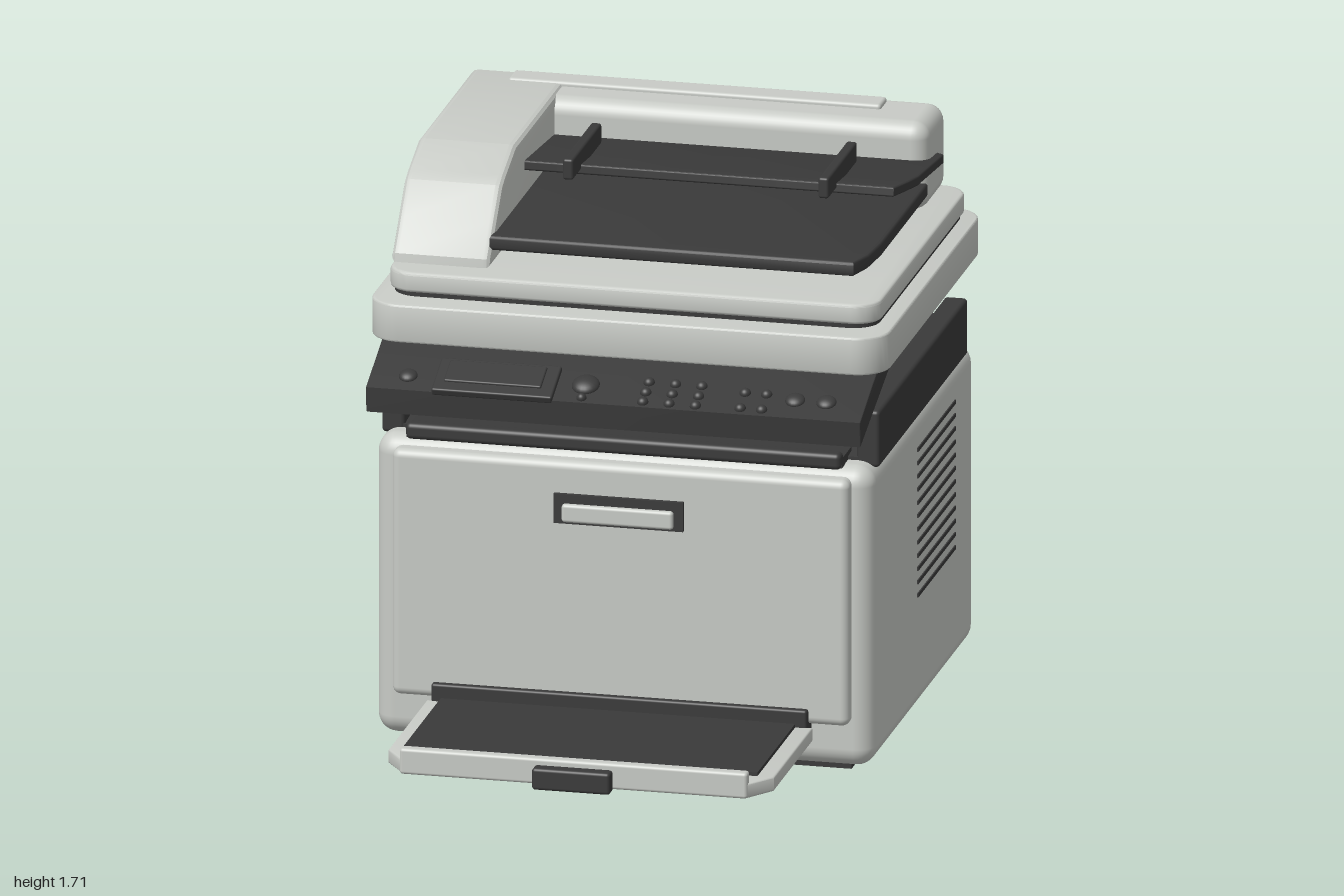
import * as THREE from 'three';
import { toCreasedNormals } from 'three/addons/utils/BufferGeometryUtils.js';
import { RoundedBoxGeometry } from 'three/addons/geometries/RoundedBoxGeometry.js';

export function createModel() {
  const model = new THREE.Group();
  const shell = new THREE.MeshStandardMaterial({ color: 0xc8cbc6 });
  shell.name = 'light grey shell';
  const dark = new THREE.MeshStandardMaterial({ color: 0x3a3a3a });
  dark.name = 'charcoal plastic';

  const add = (name, geo, mat, parent = model) => {
    const mesh = new THREE.Mesh(geo, mat);
    mesh.name = name;
    parent.add(mesh);
    return mesh;
  };

  // Box given by its limits on each axis, rounded when r > 0
  const box = (name, mat, [x0, x1], [y0, y1], [z0, z1], r = 0, parent = model) => {
    const size = [x1 - x0, y1 - y0, z1 - z0];
    const geo = r ? new RoundedBoxGeometry(...size, 4, r) : new THREE.BoxGeometry(...size);
    geo.translate((x0 + x1) / 2, (y0 + y1) / 2, (z0 + z1) / 2);
    return add(name, geo, mat, parent);
  };

  const extrude = (shape, depth, bevel) => new THREE.ExtrudeGeometry(shape, {
    depth: depth - 2 * bevel, bevelEnabled: bevel > 0, bevelSize: bevel, bevelThickness: bevel,
    bevelOffset: -bevel, bevelSegments: 3, curveSegments: 8,
  }).translate(0, 0, bevel);

  const polygon = (pts) => new THREE.Shape(pts.map(([x, y]) => new THREE.Vector2(x, y)));

  // Plan outline of [x, z] points raised from y0 to y1
  const plate = (name, mat, pts, y0, y1, bevel = 0, parent = model) => {
    const geo = extrude(polygon(pts.map(([x, z]) => [x, -z])), y1 - y0, bevel);
    geo.rotateX(-Math.PI / 2).translate(0, y0, 0);
    return add(name, toCreasedNormals(geo, 0.6), mat, parent);
  };

  // Side profile of [z, y] points swept from x0 to x1
  const profile = (name, mat, pts, x0, x1, bevel = 0) => {
    const geo = extrude(polygon(pts), x1 - x0, bevel);
    geo.rotateY(-Math.PI / 2).translate(x1, 0, 0);
    return add(name, toCreasedNormals(geo, 0.4), mat);
  };

  // Slab with round vertical corners
  const slab = (name, mat, w, z0, z1, y0, y1, r, bevel) => {
    const pts = [];
    const corners = [[w - r, z1 - r], [-w + r, z1 - r], [-w + r, z0 + r], [w - r, z0 + r]];
    corners.forEach(([cx, cz], i) => {
      for (let k = 0; k <= 8; k++) {
        const a = (i + k / 8) * Math.PI / 2;
        pts.push([cx + r * Math.cos(a), cz + r * Math.sin(a)]);
      }
    });
    return plate(name, mat, pts, y0, y1, bevel);
  };

  // Main body and base
  box('body', shell, [-0.755, 0.755], [0.015, 0.945], [-0.98, 0.33], 0.06);
  box('base', dark, [-0.68, 0.68], [0, 0.03], [-0.93, 0.28]);
  for (let i = 0; i < 12; i++) {
    const y = 0.38 + i * 0.041;
    box('ventSlot', dark, [0.75, 0.759], [y - 0.006, y + 0.006], [-0.72, -0.24]);
  }

  // Front door and handle
  box('frontDoor', shell, [-0.695, 0.692], [0.155, 0.917], [0.29, 0.37], 0.025);
  box('handleFrame', dark, [-0.2, 0.193], [0.73, 0.82], [0.36, 0.385]);
  box('handleGrip', shell, [-0.173, 0.165], [0.737, 0.793], [0.37, 0.4], 0.01);

  // Fold-out paper tray
  box('trayHinge', dark, [-0.57, 0.57], [0.11, 0.205], [0.32, 0.39], 0.008);
  plate('paperTray', shell, [[-0.585, 0.38], [-0.585, 0.87], [-0.525, 0.955], [0.525, 0.955],
    [0.585, 0.87], [0.585, 0.38]], 0.108, 0.152, 0.006);
  box('trayLiner', dark, [-0.54, 0.535], [0.148, 0.163], [0.38, 0.872]);
  box('trayLip', shell, [-0.53, 0.525], [0.107, 0.187], [0.925, 0.963], 0.01);
  box('trayPull', dark, [-0.12, 0.117], [0.1, 0.167], [0.95, 1.0], 0.01);

  // Rear details
  box('rearCover', dark, [-0.168, 0.168], [0.265, 0.45], [-1.0, -0.97], 0.006);
  for (const s of [-1, 1]) {
    const screw = add('rearScrew', new THREE.SphereGeometry(0.016, 12, 8), shell);
    screw.position.set(s * 0.59, 0.832, -0.978);
    box('rearHinge', dark, [s * 0.53 - 0.065, s * 0.53 + 0.065], [1.25, 1.33], [-0.985, -0.975]);
  }

  // Output bay between body and scanner
  for (const s of [-1, 1]) {
    const x = [s * 0.755, s * 0.685].sort((a, b) => a - b);
    box('bayWall', dark, x, [0.925, 1.1], [-0.89, 0.24], 0.012);
  }
  profile('baySlope', dark, [[-0.86, 0.93], [0.24, 0.93], [0.24, 0.955], [-0.75, 1.055], [-0.86, 1.055]], -0.69, 0.69);
  box('bayFlap', dark, [-0.66, 0.66], [0.942, 0.972], [0.2, 0.32]);
  box('bayFlapLip', dark, [-0.66, 0.66], [0.94, 0.99], [0.292, 0.34], 0.015);

  // Sloping control panel
  profile('controlPanel', dark, [[0.085, 1.19], [0.46, 1.058], [0.465, 1.135], [0.22, 1.236], [0.085, 1.236]], -0.75, 0.75, 0.004);
  const controls = new THREE.Group();
  controls.name = 'controls';
  controls.position.set(0, 1.135, 0.465);
  controls.rotation.x = Math.atan2(0.101, 0.245);
  model.add(controls);
  const stretch = Math.hypot(0.101, 0.245) / 0.245;
  const button = (x, z, r, h = 0.016) => {
    const geo = new THREE.SphereGeometry(r, 18, 8, 0, Math.PI * 2, 0, Math.PI / 2);
    const cap = add('button', geo, dark, controls);
    cap.scale.y = h / r;
    cap.position.set(x, 0, (z - 0.465) * stretch);
  };
  box('screenFrame', dark, [-0.55, -0.185], [-0.01, 0.014], [-0.145, 0.004], 0.006, controls);
  box('screen', dark, [-0.52, -0.225], [0.005, 0.02], [-0.13, -0.035], 0.005, controls);
  button(-0.635, 0.405, 0.028);
  button(-0.1, 0.39, 0.042, 0.022);
  button(-0.1, 0.445, 0.015);
  for (const x of [0.085, 0.165, 0.245]) for (const z of [0.36, 0.403, 0.443]) button(x, z, 0.017);
  for (const x of [0.38, 0.445]) for (const z of [0.375, 0.44]) button(x, z, 0.017);
  for (const x of [0.535, 0.63]) button(x, 0.39, 0.03);

  // Scanner bed and lid
  slab('scannerBed', shell, 0.785, -0.98, 0.32, 1.232, 1.348, 0.1, 0.006);
  slab('lidGasket', dark, 0.735, -0.945, 0.225, 1.34, 1.368, 0.08, 0);
  slab('scannerLid', shell, 0.745, -0.955, 0.237, 1.362, 1.424, 0.08, 0.01);

  // Document feeder housing
  profile('feederArm', shell, [[0.145, 1.42], [0.14, 1.45], [0.06, 1.54], [-0.02, 1.63], [-0.06, 1.65],
    [-0.2, 1.7], [-0.88, 1.7], [-0.92, 1.685], [-0.935, 1.65], [-0.935, 1.42]], -0.75, -0.45, 0.022);
  box('feederBar', shell, [-0.52, 0.68], [1.42, 1.692], [-0.935, -0.68], 0.05);
  box('feederTopCover', shell, [-0.62, 0.51], [1.68, 1.706], [-0.89, -0.803], 0.01);

  // Feeder trays
  plate('lowerFeederTray', dark, [[-0.46, 0.107], [0.645, 0.107], [0.67, 0.02], [0.68, -0.1],
    [0.68, -0.69], [-0.46, -0.69]], 1.468, 1.513, 0.01);
  const upper = new THREE.Group();
  upper.name = 'upperFeeder';
  upper.position.set(0, 1.605, -0.3);
  upper.rotation.x = -0.1;
  model.add(upper);
  plate('upperFeederTray', dark, [[-0.46, 0], [0.67, 0], [0.69, -0.1], [0.703, -0.18], [0.703, -0.5],
    [0.67, -0.525], [-0.46, -0.525]], -0.015, 0.015, 0.006, upper);
  for (const x of [-0.295, 0.48]) box('paperGuide', dark, [x - 0.016, x + 0.016], [1.602, 1.666], [-0.567, -0.2], 0.008);

  return model;
}
